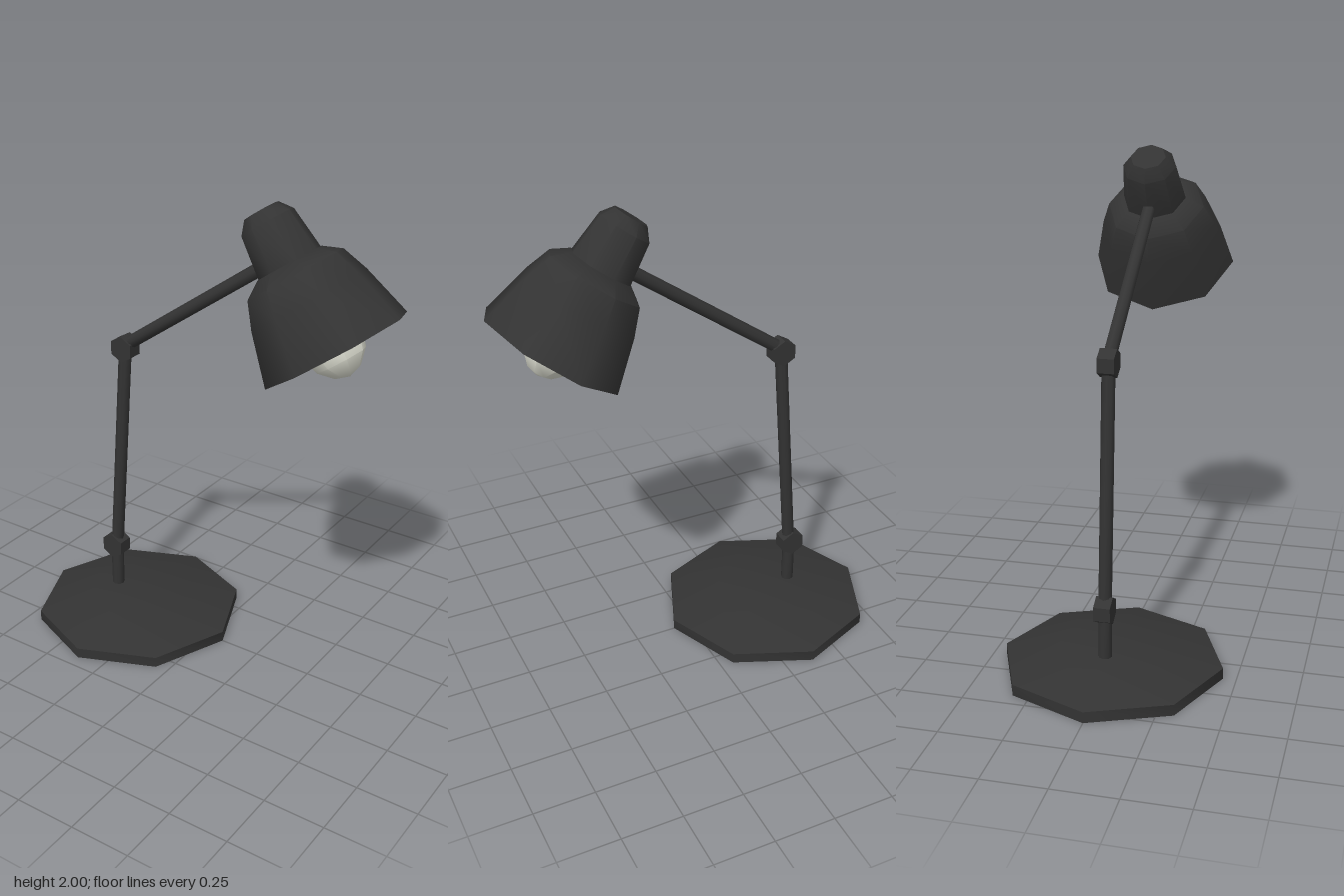
import * as THREE from 'three';
import { toCreasedNormals } from 'three/addons/utils/BufferGeometryUtils.js';

export function createModel() {
  const model = new THREE.Group();
  const metal = new THREE.MeshStandardMaterial({ color: 0x333333 });
  metal.name = 'dark metal';
  const glass = new THREE.MeshStandardMaterial({ color: 0xdedfd2 });
  glass.name = 'bulb glass';

  function add(parent, name, geometry, material = metal) {
    const mesh = new THREE.Mesh(toCreasedNormals(geometry, 0.8), material);
    mesh.name = name;
    parent.add(mesh);
    return mesh;
  }

  // Eight-sided turned part; the profile runs upward on outer surfaces
  const lathe = (points) =>
    new THREE.LatheGeometry(points.map(([r, y]) => new THREE.Vector2(r, y)), 8);

  // Straight rod between two points in the z = 0 plane
  function rod(name, [x1, y1], [x2, y2], radius) {
    const length = Math.hypot(x2 - x1, y2 - y1);
    const mesh = add(model, name, new THREE.CylinderGeometry(radius, radius, length, 8));
    mesh.position.set((x1 + x2) / 2, (y1 + y2) / 2, 0);
    mesh.rotation.z = Math.atan2(y2 - y1, x2 - x1) - Math.PI / 2;
  }

  // Hexagonal hinge lying across the arm
  function joint(name, x, y) {
    const geometry = new THREE.CylinderGeometry(0.056, 0.056, 0.066, 6);
    geometry.rotateX(Math.PI / 2);
    add(model, name, geometry).position.set(x, y, 0);
  }

  // Octagonal base with a sloping top
  const base = add(model, 'base', lathe([
    [0, 0], [0.447, 0], [0.447, 0.045], [0.22, 0.105], [0, 0.105],
  ]));
  base.position.x = -0.372;

  // Post, hinges and arms
  rod('post', [-0.49, 0.09], [-0.49, 0.305], 0.027);
  joint('lowerJoint', -0.494, 0.305);
  rod('lowerArm', [-0.488, 0.305], [-0.412, 1.27], 0.027);
  joint('upperJoint', -0.412, 1.27);
  rod('upperArm', [-0.412, 1.28], [0.29, 1.775], 0.027);

  // Tilted head, with its origin at the centre of the shade rim
  const head = new THREE.Group();
  head.name = 'head';
  head.position.set(0.565, 1.483, 0);
  head.rotation.z = 0.614;
  model.add(head);

  // Hollow shade: inner wall down to the rim, then outer wall up
  add(head, 'shade', lathe([
    [0, 0.335], [0.125, 0.335], [0.18, 0.305], [0.222, 0.205], [0.278, 0.004],
    [0.3, 0], [0.243, 0.21], [0.202, 0.315], [0.135, 0.362], [0, 0.362],
  ]));
  add(head, 'socketCap', lathe([
    [0.132, 0.35], [0.11, 0.53], [0.072, 0.578], [0, 0.578],
  ]));

  // Bulb with a narrow neck reaching into the shade
  add(head, 'bulb', lathe([
    [0, -0.108], [0.055, -0.09], [0.104, -0.04], [0.128, 0.035],
    [0.108, 0.115], [0.06, 0.19], [0.05, 0.335],
  ]), glass);

  return model;
}
